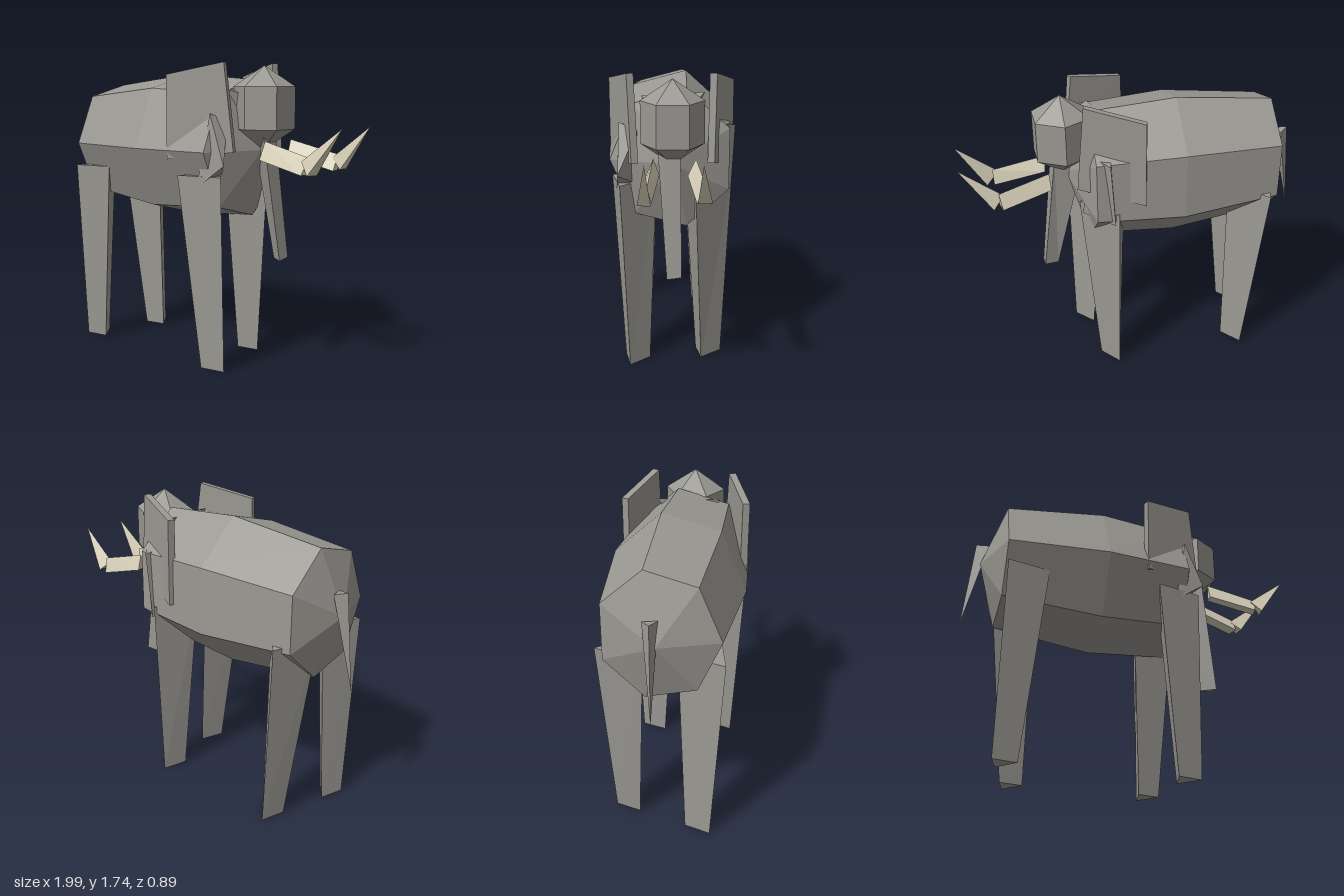
import * as THREE from 'three';

const V = (p) => new THREE.Vector3(...p);

// Closed flat-sided skin through a series of rings; a one-point ring is a tip.
function loft(rings) {
  const n = Math.max(...rings.map((r) => r.length));
  const full = rings.map((r) => Array.from({ length: n }, (_, i) => V(r[i % r.length])));
  const tris = [];
  const add = (a, b, c) => {
    const area = b.clone().sub(a).cross(c.clone().sub(a)).length();
    if (area > 1e-7) tris.push([a, b, c]);
  };
  for (let k = 0; k < full.length - 1; k++) {
    for (let i = 0; i < n; i++) {
      const j = (i + 1) % n, p = full[k], q = full[k + 1];
      add(p[i], p[j], q[j]);
      add(p[i], q[j], q[i]);
    }
  }
  const first = full[0], last = full[full.length - 1];
  for (let i = 1; i < n - 1; i++) {
    add(first[0], first[i + 1], first[i]);
    add(last[0], last[i], last[i + 1]);
  }
  // Turn every face outward
  let volume = 0;
  for (const [a, b, c] of tris) volume += a.dot(b.clone().cross(c));
  const pts = tris.flatMap(([a, b, c]) => (volume < 0 ? [a, c, b] : [a, b, c]));
  const g = new THREE.BufferGeometry().setFromPoints(pts);
  g.computeVertexNormals();
  return g;
}

export function createModel() {
  const model = new THREE.Group();
  model.name = 'elephant';
  const hide = new THREE.MeshStandardMaterial({ color: 0x9b9993, flatShading: true });
  hide.name = 'grey hide';
  const ivory = new THREE.MeshStandardMaterial({ color: 0xd6cfb8, flatShading: true });
  ivory.name = 'ivory';

  const part = (name, geometry, material = hide) => {
    const m = new THREE.Mesh(geometry, material);
    m.name = name;
    model.add(m);
    return m;
  };

  // Body: seven-sided barrel, turned slightly toward the front
  const yaw = 0.215;
  const ring = (x, z, r) => Array.from({ length: 7 }, (_, i) => {
    const a = (i / 7) * Math.PI * 2;
    const side = Math.cos(a) * r * 0.875;
    return [x - Math.sin(yaw) * side, 1.25 + Math.sin(a) * r, z + Math.cos(yaw) * side];
  });
  part('body', loft([
    [[-0.92, 1.25, -0.14]],
    ring(-0.81, -0.12, 0.37),
    ring(-0.246, -0.004, 0.44),
    ring(0.244, 0.1, 0.403),
    [[0.37, 1.25, 0.127]],
  ]));

  // Head: six-sided with pointed crown and chin
  const head = new THREE.SphereGeometry(0.233, 6, 3);
  head.scale(0.86, 1, 0.86);
  head.rotateY(THREE.MathUtils.degToRad(18));
  part('head', head).position.set(0.38, 1.487, 0.13);

  part('neck', loft([
    [[0.18, 1.61, -0.1], [0.17, 1.6, 0.26], [0.2, 1.25, 0.09]],
    [[0.36, 1.55, 0.03], [0.34, 1.55, 0.22], [0.4, 1.27, 0.13]],
  ]));

  part('trunk', loft([
    [[0.42, 1.34, 0.22], [0.44, 1.34, 0.1], [0.28, 1.34, 0.06]],
    [[0.515, 0.64, 0.195], [0.53, 0.65, 0.115], [0.445, 0.64, 0.12]],
  ]));

  // Legs: tapered three-sided columns, flat side toward +z
  // Each end: x from, x to, z of flat side, z of rear corner
  const triangle = ([x0, x1, z0, z1], y) => [[x0, y, z0], [x1, y, z0], [(x0 + x1) / 2, y, z1]];
  const legs = {
    rightFrontLeg: [[0.105, 0.255, 0.365, 0.23], [-0.02, 0.255, 0.405, 0.17]],
    leftFrontLeg: [[0.12, 0.255, -0.07, -0.21], [0.06, 0.34, -0.01, -0.26]],
    rightRearLeg: [[-0.87, -0.73, 0.155, 0.02], [-0.88, -0.63, 0.215, -0.02]],
    leftRearLeg: [[-0.67, -0.535, -0.235, -0.37], [-0.81, -0.535, -0.2, -0.45]],
  };
  for (const [name, [foot, top]] of Object.entries(legs)) {
    part(name, loft([triangle(foot, 0), triangle(top, 1.115)]));
  }

  // Shoulders above the front legs
  part('rightShoulder', loft([
    [[0.18, 1.46, 0.39], [0.24, 1.42, 0.3], [0.17, 1.42, 0.3]],
    [[0.1, 1.05, 0.4], [0.28, 1.18, 0.42], [0.17, 1.08, 0.25]],
  ]));
  part('leftShoulder', loft([
    [[0.2, 1.45, -0.16], [0.3, 1.45, -0.17], [0.25, 1.43, -0.26]],
    [[0.12, 1.08, -0.03], [0.34, 1.06, -0.05], [0.22, 1.05, -0.25]],
  ]));

  // Ears: slanted plates, given a thickness
  const ear = (name, outline, dx, dz) =>
    part(name, loft([outline, outline.map(([x, y, z]) => [x + dx, y, z + dz])]));
  ear('rightEar', [
    [-0.09, 1.67, 0.402], [0.245, 1.735, 0.355], [0.3, 1.25, 0.345], [-0.09, 1.2, 0.402],
  ], -0.005, -0.04);
  ear('leftEar', [
    [0.06, 1.66, -0.305], [0.345, 1.735, -0.125], [0.385, 1.25, -0.105], [0.06, 1.17, -0.305],
  ], -0.02, 0.035);

  // Tusks: a shaft and an upturned point on each side
  const tusk = (side, base, end, root, tip) => {
    part(side + 'TuskShaft', loft([base, end]), ivory);
    part(side + 'TuskPoint', loft([root, [tip]]), ivory);
  };
  tusk('right',
    [[0.445, 1.31, 0.25], [0.43, 1.21, 0.29], [0.46, 1.22, 0.22]],
    [[0.74, 1.24, 0.34], [0.71, 1.15, 0.38], [0.74, 1.15, 0.32]],
    [[0.7, 1.22, 0.35], [0.78, 1.15, 0.33], [0.75, 1.15, 0.395]],
    [0.935, 1.4, 0.39]);
  tusk('left',
    [[0.5, 1.31, 0.03], [0.5, 1.22, 0.075], [0.5, 1.22, 0]],
    [[0.79, 1.24, 0.05], [0.78, 1.15, 0.095], [0.78, 1.15, 0.02]],
    [[0.76, 1.22, 0.06], [0.83, 1.16, 0.025], [0.82, 1.16, 0.1]],
    [0.99, 1.4, 0.115]);

  // Tail: thin spike hanging from the rump
  part('tail', loft([
    [[-0.945, 1.39, -0.165], [-0.88, 1.38, -0.2], [-0.88, 1.38, -0.12]],
    [[-1, 0.85, -0.165]],
  ]));

  return model;
}
